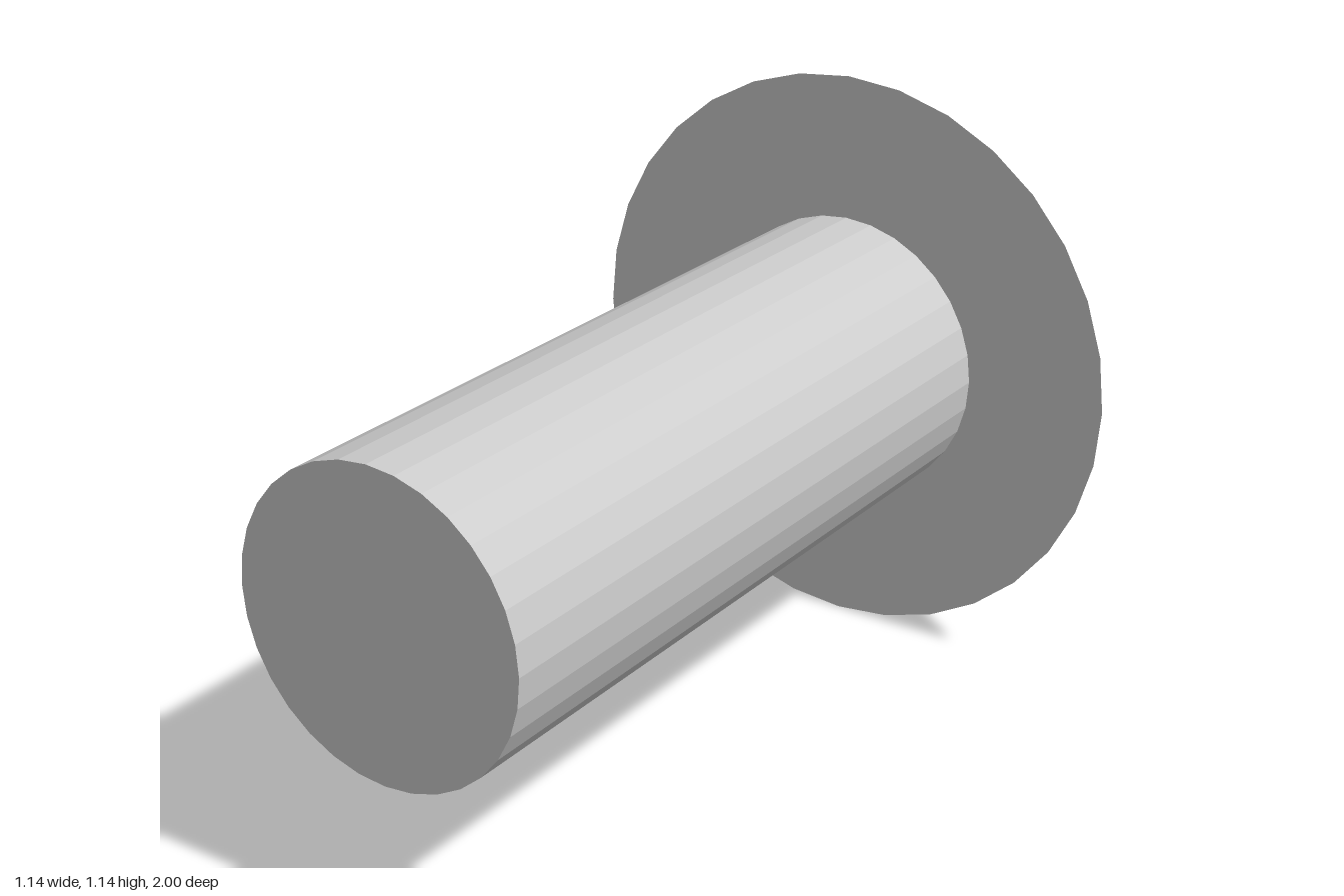
import * as THREE from 'three';

const SIDES = 32;
const HEAD_RADIUS = 4 / 7;
const SHAFT_RADIUS = 2 / 7;
const HEAD_LENGTH = 4 / 7;
const SHAFT_LENGTH = 2 - HEAD_LENGTH;

export function createModel() {
  const group = new THREE.Group();
  group.name = 'arrow';
  const material = new THREE.MeshStandardMaterial({ color: 0xcccccc, flatShading: true });

  // Lays an upright part along -z, with its middle at the given z
  const addPart = (name, geometry, z) => {
    geometry.rotateX(-Math.PI / 2);
    const mesh = new THREE.Mesh(geometry, material);
    mesh.name = name;
    mesh.position.set(0, HEAD_RADIUS, z);
    group.add(mesh);
  };

  // Round shaft, from the front end to the base of the head
  addPart('shaft', new THREE.CylinderGeometry(SHAFT_RADIUS, SHAFT_RADIUS, SHAFT_LENGTH, SIDES),
    1 - SHAFT_LENGTH / 2);

  // Conical head pointing to the back
  addPart('head', new THREE.ConeGeometry(HEAD_RADIUS, HEAD_LENGTH, SIDES),
    -1 + HEAD_LENGTH / 2);

  return group;
}
